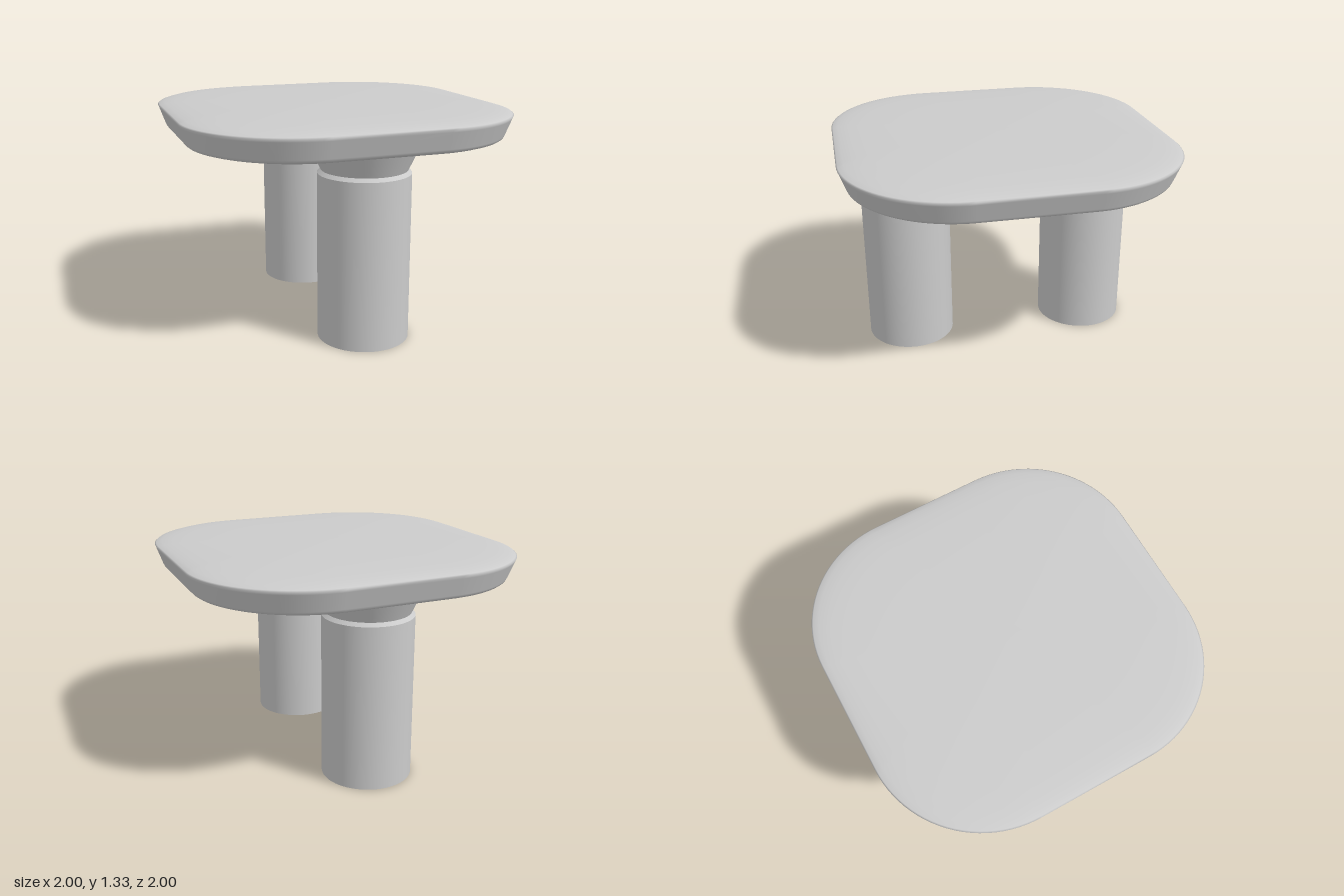
import * as THREE from 'three';
import { mergeVertices } from 'three/addons/utils/BufferGeometryUtils.js';

const material = new THREE.MeshStandardMaterial({ color: 0xcccccc });

// Rounded-square outline of half-width 1, counter-clockwise seen from above
function outline(radius, steps) {
  const points = [];
  for (let corner = 0; corner < 4; corner++) {
    const mid = (corner + 0.5) * Math.PI / 2;
    const cx = Math.sign(Math.cos(mid)) * (1 - radius);
    const cz = Math.sign(Math.sin(mid)) * (1 - radius);
    for (let i = 0; i <= steps; i++) {
      const a = (corner + i / steps) * Math.PI / 2;
      points.push([cx + radius * Math.cos(a), -(cz + radius * Math.sin(a))]);
    }
  }
  return points;
}

// Stack scaled copies of the outline along a [scale, height] profile
function loft(points, profile) {
  const positions = [], indices = [];
  const n = points.length;
  for (const [s, y] of profile)
    for (const [x, z] of points) positions.push(x * s, y, z * s);
  for (let r = 0; r < profile.length - 1; r++) {
    for (let i = 0; i < n; i++) {
      const a = r * n + i, b = r * n + (i + 1) % n;
      if (profile[r][0] > 0) indices.push(a, b, b + n);
      if (profile[r + 1][0] > 0) indices.push(a, b + n, a + n);
    }
  }
  const geometry = new THREE.BufferGeometry();
  geometry.setAttribute('position', new THREE.Float32BufferAttribute(positions, 3));
  geometry.setIndex(indices);
  const merged = mergeVertices(geometry, 1e-5);
  merged.computeVertexNormals();
  return merged;
}

function addMesh(parent, name, geometry) {
  const mesh = new THREE.Mesh(geometry, material);
  mesh.name = name;
  parent.add(mesh);
  return mesh;
}

export function createModel() {
  const group = new THREE.Group();
  group.name = 'table';

  // Tabletop: shallow bowl below, tapered side, gently crowned top
  const profile = [
    [0, 1.1], [0.35, 1.101], [0.6, 1.108], [0.75, 1.117], [0.87, 1.126], [0.92, 1.134],
    [0.945, 1.143], [0.955, 1.151], [0.96, 1.163], [0.994, 1.262],
    [1, 1.278], [0.992, 1.285], [0.96, 1.295], [0.9, 1.304], [0.8, 1.312],
    [0.6, 1.32], [0.4, 1.324], [0, 1.325],
  ];
  addMesh(group, 'tabletop', loft(outline(0.66, 24), profile));

  // Two round pedestals, each with a bevelled top and a flared neck
  for (const [name, z] of [['frontLeg', 0.595], ['backLeg', -0.55]]) {
    const leg = new THREE.Group();
    leg.name = name;
    leg.position.z = z;
    addMesh(leg, 'column', new THREE.CylinderGeometry(0.27, 0.27, 0.99, 64)).position.y = 0.495;
    addMesh(leg, 'bevel', new THREE.CylinderGeometry(0.25, 0.27, 0.02, 64, 1, true)).position.y = 1.0;
    addMesh(leg, 'neck', new THREE.CylinderGeometry(0.31, 0.25, 0.13, 64, 1, true)).position.y = 1.075;
    group.add(leg);
  }
  return group;
}
